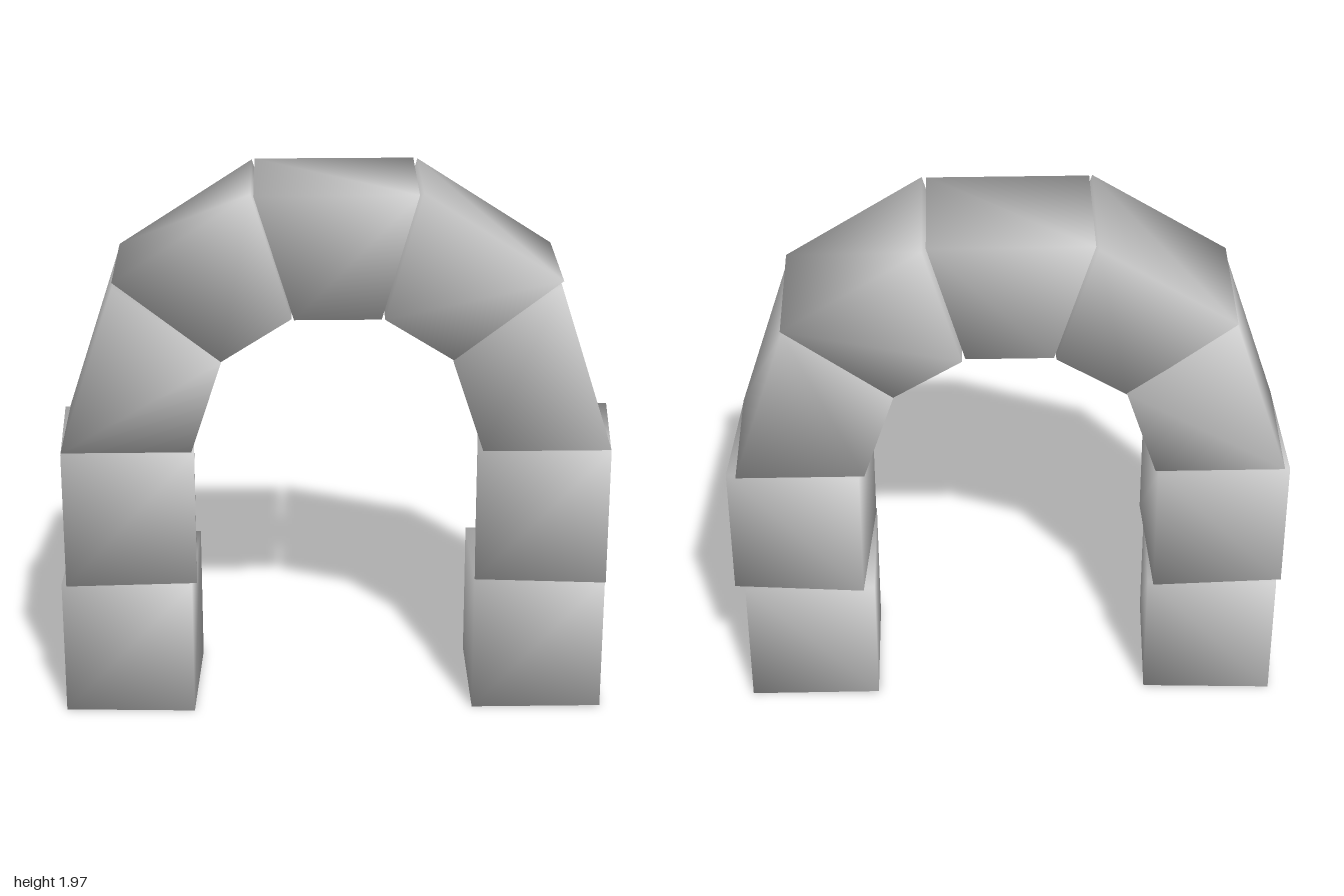
import * as THREE from 'three';

const material = new THREE.MeshStandardMaterial({ color: 0xcccccc });

// Stone block: four front corners (counter-clockwise) pushed through the depth,
// with shared corner normals and a slight turn and lean about its own centre.
function stone(name, corners, { yaw = 0, pitch = 0, depth = 0.47 } = {}) {
  const cx = corners.reduce((s, c) => s + c[0], 0) / 4;
  const cy = corners.reduce((s, c) => s + c[1], 0) / 4;
  const positions = [];
  for (const z of [depth / 2, -depth / 2]) {
    for (const [x, y] of corners) positions.push(x - cx, y - cy, z);
  }
  const index = [0, 1, 2, 0, 2, 3, 4, 6, 5, 4, 7, 6];
  for (let i = 0; i < 4; i++) {
    const j = (i + 1) % 4;
    index.push(i, i + 4, j + 4, i, j + 4, j);
  }
  const geometry = new THREE.BufferGeometry();
  geometry.setAttribute('position', new THREE.Float32BufferAttribute(positions, 3));
  geometry.setIndex(index);
  geometry.computeVertexNormals();
  const mesh = new THREE.Mesh(geometry, material);
  mesh.name = name;
  mesh.position.set(cx, cy, 0);
  mesh.rotation.set(pitch, yaw, 0);
  return mesh;
}

const rect = (x0, x1, y0, y1) => [[x0, y0], [x1, y0], [x1, y1], [x0, y1]];

export function createModel() {
  const arch = new THREE.Group();
  arch.name = 'stoneArch';

  arch.add(
    // Upright legs
    stone('rightBaseStone', rect(-0.99, -0.52, 0, 0.51), { yaw: -0.04 }),
    stone('leftBaseStone', rect(0.49, 0.962, 0, 0.51)),
    stone('rightUpperLegStone', rect(-0.99, -0.52, 0.51, 1.02), { yaw: 0.04 }),
    stone('leftUpperLegStone', rect(0.51, 0.982, 0.51, 1.02), { yaw: -0.08 }),
    // Springing stones that lean inward
    stone('rightSpringer', [[-0.98, 1.025], [-0.52, 1.025], [-0.41, 1.36], [-0.78, 1.635]]),
    stone('leftSpringer', [[0.51, 1.02], [0.965, 1.02], [0.77, 1.63], [0.4, 1.355]]),
    // Wedges on either side of the keystone
    stone('rightWedge', [[-0.41, 1.36], [-0.163, 1.515], [-0.3, 1.96], [-0.78, 1.65]], { pitch: -0.025 }),
    stone('leftWedge', [[0.16, 1.51], [0.4, 1.36], [0.775, 1.645], [0.29, 1.96]], { pitch: -0.025 }),
    // Keystone
    stone('keystone', [[-0.155, 1.515], [0.148, 1.515], [0.275, 1.96], [-0.29, 1.96]], { depth: 0.465 })
  );
  return arch;
}
